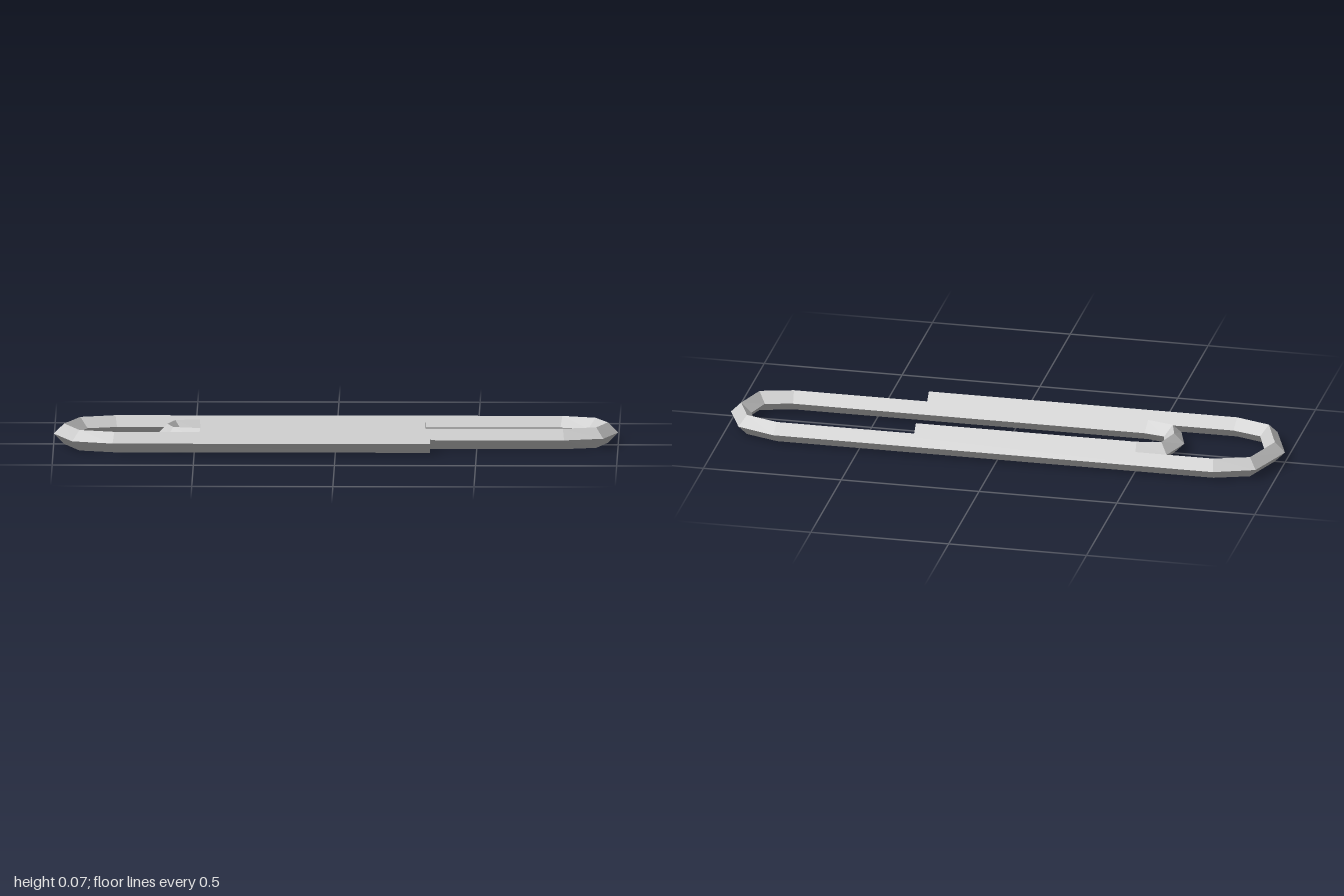
import * as THREE from 'three';

const RADIUS = 0.0367;

// Centre line of the bent wire, as [x, z], from the outer free end to the inner one
const PATH = [
  [0.336, 0.197], [-0.783, 0.197],                       // outer free strand
  [-0.907, 0.155], [-0.963, 0], [-0.907, -0.155],        // large bend
  [-0.783, -0.197], [0.8, -0.197],                       // long back strand
  [0.918, -0.155], [0.963, -0.047], [0.923, 0.073],      // middle bend
  [0.805, 0.105], [-0.48, 0.105],                        // inner front strand
  [-0.575, 0.08], [-0.597, 0.003], [-0.57, -0.085],      // small bend
  [-0.483, -0.102], [0.317, -0.102],                     // inner free strand
];

// Sweeps a diamond section along a flat path, with closed ends
function sweepDiamond(path, r) {
  const pts = path.map(([x, z]) => new THREE.Vector3(x, r, z));
  const up = new THREE.Vector3(0, 1, 0);
  const last = pts.length - 1;
  const positions = [];
  const index = [];
  pts.forEach((p, i) => {
    const tangent = new THREE.Vector3();
    if (i > 0) tangent.add(p.clone().sub(pts[i - 1]).normalize());
    if (i < last) tangent.add(pts[i + 1].clone().sub(p).normalize());
    const side = tangent.normalize().cross(up);
    for (let k = 0; k < 4; k++) {
      const a = (k * Math.PI) / 2;
      const v = p.clone().addScaledVector(up, r * Math.cos(a)).addScaledVector(side, r * Math.sin(a));
      positions.push(v.x, v.y, v.z);
      if (i < last) {
        const n = (k + 1) % 4;
        const q = i * 4;
        index.push(q + k, q + n, q + 4 + n, q + k, q + 4 + n, q + 4 + k);
      }
    }
  });
  const e = last * 4;
  index.push(0, 2, 1, 0, 3, 2, e, e + 1, e + 2, e, e + 2, e + 3);

  const indexed = new THREE.BufferGeometry();
  indexed.setAttribute('position', new THREE.Float32BufferAttribute(positions, 3));
  indexed.setIndex(index);
  const geometry = indexed.toNonIndexed();
  geometry.computeVertexNormals();
  return geometry;
}

export function createModel() {
  const group = new THREE.Group();
  group.name = 'paperclip';
  const material = new THREE.MeshStandardMaterial({ color: 0xcccccc, flatShading: true });
  const wire = new THREE.Mesh(sweepDiamond(PATH, RADIUS), material);
  wire.name = 'bentWire';
  group.add(wire);
  return group;
}
